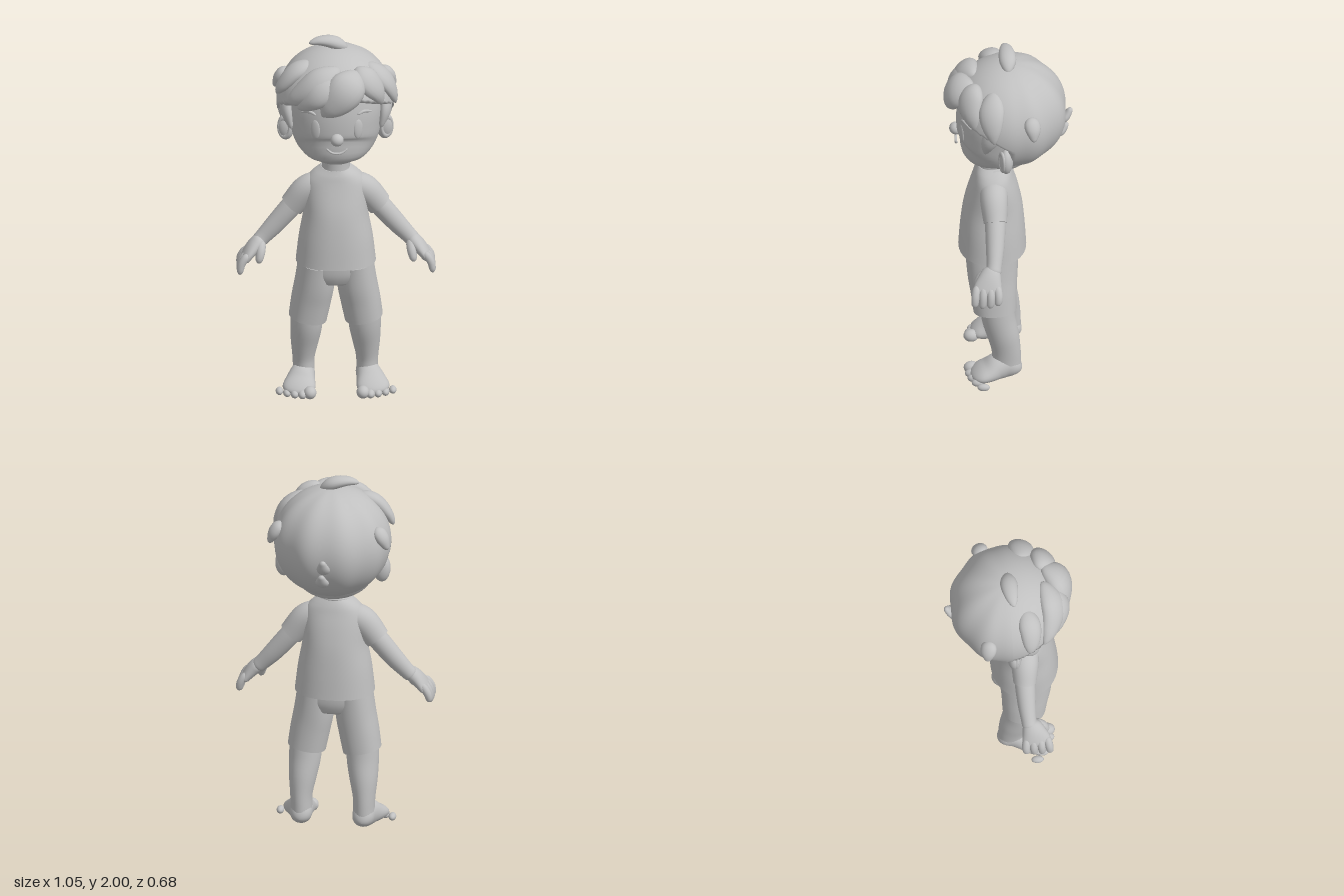
import * as THREE from 'three';

const clay = new THREE.MeshStandardMaterial({ color: 0xc0c0c0 });
clay.name = 'clay grey';

const AXIS_Z = () => new THREE.Vector3(0, 0, 1);
const AXIS_Y = () => new THREE.Vector3(0, 1, 0);
const HEAD = new THREE.Vector3(0, 1.62, 0);
const FROM_HEAD = (c) => c.clone().sub(HEAD).normalize();

// Smooth sweep through [x, y, z, halfWidth, halfDepth] sections; c0 and c1 are rounded end lengths (0 = flat)
function sweep(name, secs, { c0 = 0, c1 = 0, ref = AXIS_Z, pow = 1, steps = 28, sides = 28 } = {}) {
  const path = new THREE.CatmullRomCurve3(secs.map((s) => new THREE.Vector3(s[0], s[1], s[2])), false, 'catmullrom');
  const size = new THREE.CatmullRomCurve3(secs.map((s) => new THREE.Vector3(s[3], s[4], 0)), false, 'catmullrom');
  const dome = (t, c) => (c > 0 && t < c ? Math.sqrt(Math.max(0, 1 - (1 - t / c) ** 2)) : 1);
  const bend = (v) => Math.sign(v) * Math.abs(v) ** pow;
  const pos = [], idx = [];
  const ring = (t, k) => {
    const c = path.getPoint(t), T = path.getTangent(t), r = size.getPoint(t);
    const N = ref(c);
    N.addScaledVector(T, -N.dot(T)).normalize();
    const U = N.clone().cross(T);
    k *= dome(t, c0) * dome(1 - t, c1);
    for (let j = 0; j < sides; j++) {
      const a = (j / sides) * Math.PI * 2;
      const p = c.clone().addScaledVector(U, bend(Math.cos(a)) * Math.max(r.x, 0.002) * k)
        .addScaledVector(N, bend(Math.sin(a)) * Math.max(r.y, 0.002) * k);
      pos.push(p.x, p.y, p.z);
    }
  };
  // doubled end rings keep flat ends crisp
  ring(0, 0); ring(0, 1);
  for (let i = 0; i <= steps; i++) ring((1 - Math.cos((i / steps) * Math.PI)) / 2, 1);
  ring(1, 1); ring(1, 0);
  const rings = pos.length / 3 / sides;
  for (let i = 0; i < rings - 1; i++) for (let j = 0; j < sides; j++) {
    const a = i * sides + j, b = i * sides + (j + 1) % sides;
    idx.push(a, b, b + sides, a, b + sides, a + sides);
  }
  const g = new THREE.BufferGeometry();
  g.setAttribute('position', new THREE.Float32BufferAttribute(pos, 3));
  g.setIndex(idx);
  g.computeVertexNormals();
  return named(name, g);
}

function named(name, geometry) {
  const m = new THREE.Mesh(geometry, clay);
  m.name = name;
  return m;
}

function ball(name, p, r) {
  const m = named(name, new THREE.SphereGeometry(1, 28, 20));
  m.position.set(...p);
  m.scale.set(...r);
  return m;
}

const flip = (secs, s) => secs.map(([x, ...rest]) => [x * s, ...rest]);
const lock = (name, secs) => sweep(name, secs, { c0: 0.3, c1: 0.12, ref: FROM_HEAD, sides: 20, steps: 22 });

// Hair shell: an ellipsoid with soft vertical lobes, tucked under the face below the hairline
function hairCap() {
  const g = new THREE.SphereGeometry(1, 96, 72), p = g.attributes.position;
  for (let i = 0; i < p.count; i++) {
    const x = p.getX(i), y = p.getY(i), z = p.getZ(i);
    const lobes = 1 - 0.018 * Math.cos(9 * Math.atan2(x, -z)) * (1 - y * y) * THREE.MathUtils.smoothstep(-z, -0.1, 0.4);
    const wy = 1.64 + y * 0.3;
    const hairline = -0.01 + 0.3 * THREE.MathUtils.smoothstep(wy, 1.56, 1.76);
    const k = lobes * (1 - 0.3 * THREE.MathUtils.smoothstep(z * 0.31 - hairline, 0, 0.03));
    p.setXYZ(i, x * 0.312 * k, 1.64 + y * 0.3 * k, z * 0.308 * k);
  }
  g.computeVertexNormals();
  return named('hairCap', g);
}

function buildHead() {
  const head = new THREE.Group();
  head.name = 'head';
  head.add(sweep('face', [
    [0, 1.333, 0.1, 0.05, 0.06], [0, 1.35, 0.1, 0.13, 0.115], [0, 1.39, 0.095, 0.185, 0.168],
    [0, 1.45, 0.07, 0.222, 0.21], [0, 1.53, 0.052, 0.24, 0.226], [0, 1.65, 0.042, 0.25, 0.23],
    [0, 1.78, 0.03, 0.22, 0.21], [0, 1.88, 0.02, 0.11, 0.11]], { sides: 48, steps: 40 }));
  head.add(sweep('neck', [[0, 1.23, 0.085, 0.08, 0.08], [0, 1.3, 0.086, 0.074, 0.077], [0, 1.38, 0.088, 0.075, 0.077]]));
  head.add(ball('nose', [0, 1.515, 0.279], [0.035, 0.034, 0.034]));
  head.add(sweep('mouth', [[-0.056, 1.463, 0.271, 0.005, 0.006], [-0.03, 1.443, 0.277, 0.006, 0.007],
    [0, 1.437, 0.279, 0.006, 0.007], [0.03, 1.443, 0.277, 0.006, 0.007], [0.056, 1.463, 0.271, 0.005, 0.006]],
  { c0: 0.05, c1: 0.05, sides: 10 }));
  for (const s of [1, -1]) {
    const eye = ball('eye', [s * 0.113, 1.565, 0.247], [0.027, 0.056, 0.011]);
    eye.rotation.y = s * 0.45;
    head.add(eye);
    head.add(sweep('eyebrow', flip([[0.11, 1.648, 0.25, 0.006, 0.006], [0.145, 1.66, 0.232, 0.009, 0.008],
      [0.187, 1.645, 0.197, 0.005, 0.006]], s), { c0: 0.1, c1: 0.1, sides: 10 }));
    // ear with a raised rim
    head.add(ball('ear', [s * 0.262, 1.487, 0.012], [0.046, 0.074, 0.036]));
    const rim = named('earRim', new THREE.TorusGeometry(0.032, 0.009, 10, 28));
    rim.position.set(s * 0.272, 1.49, 0.034);
    rim.scale.set(0.95, 1.6, 1);
    rim.rotation.y = s * 0.4;
    head.add(rim);
  }
  return head;
}

function buildHair() {
  const hair = new THREE.Group();
  hair.name = 'hair';
  hair.add(hairCap());
  const fringe = [
    [[0.11, 1.87, 0.19, 0.07, 0.05], [0.05, 1.8, 0.27, 0.1, 0.065], [-0.025, 1.715, 0.285, 0.075, 0.045], [-0.08, 1.65, 0.275, 0.015, 0.015]],
    [[0.02, 1.88, 0.18, 0.06, 0.05], [-0.1, 1.82, 0.23, 0.08, 0.05], [-0.2, 1.74, 0.205, 0.055, 0.04], [-0.265, 1.69, 0.17, 0.012, 0.012]],
    [[-0.01, 1.86, 0.22, 0.05, 0.05], [-0.09, 1.78, 0.262, 0.075, 0.05], [-0.155, 1.72, 0.25, 0.05, 0.035], [-0.205, 1.675, 0.225, 0.012, 0.012]],
    [[0.1, 1.88, 0.17, 0.06, 0.05], [0.165, 1.82, 0.2, 0.075, 0.045], [0.215, 1.75, 0.195, 0.055, 0.035], [0.24, 1.675, 0.175, 0.012, 0.012]],
    [[0.16, 1.87, 0.08, 0.06, 0.04], [0.25, 1.79, 0.09, 0.07, 0.04], [0.295, 1.715, 0.085, 0.05, 0.03], [0.318, 1.64, 0.075, 0.01, 0.01]],
    [[-0.13, 1.88, 0.08, 0.06, 0.04], [-0.22, 1.83, 0.1, 0.06, 0.04], [-0.28, 1.765, 0.1, 0.045, 0.03], [-0.315, 1.71, 0.09, 0.012, 0.012]],
  ];
  for (const f of fringe) hair.add(lock('fringeLock', f));
  for (const s of [1, -1]) {
    hair.add(lock('sideburn', flip([[0.27, 1.7, 0.06, 0.05, 0.03], [0.262, 1.61, 0.105, 0.042, 0.028], [0.236, 1.52, 0.125, 0.01, 0.01]], s)));
    hair.add(lock('sideTuft', flip([[0.25, 1.77, -0.115, 0.04, 0.03], [0.29, 1.715, -0.13, 0.042, 0.032], [0.318, 1.655, -0.135, 0.012, 0.012]], s)));
  }
  // small upturned locks at the nape
  hair.add(lock('backTuft', [[0, 1.57, -0.27, 0.035, 0.03], [0, 1.595, -0.305, 0.034, 0.024], [0, 1.645, -0.333, 0.012, 0.012]]));
  hair.add(lock('backTuft', [[0.01, 1.49, -0.25, 0.035, 0.03], [0.01, 1.51, -0.285, 0.034, 0.022], [0.01, 1.555, -0.312, 0.012, 0.012]]));
  hair.add(lock('topTuft', [[0.065, 1.925, 0, 0.035, 0.03], [-0.01, 1.963, 0.004, 0.046, 0.034], [-0.08, 1.975, 0.012, 0.036, 0.024], [-0.14, 1.965, 0.022, 0.012, 0.01]]));
  return hair;
}

function buildClothes() {
  const clothes = new THREE.Group();
  clothes.name = 'clothes';
  clothes.add(sweep('shirt', [
    [0, 0.757, 0.085, 0.212, 0.18], [0, 0.9, 0.084, 0.195, 0.17], [0, 1.03, 0.082, 0.172, 0.155], [0, 1.13, 0.08, 0.168, 0.132],
    [0, 1.21, 0.081, 0.158, 0.108], [0, 1.255, 0.083, 0.125, 0.095], [0, 1.29, 0.085, 0.076, 0.08]], { pow: 0.9, sides: 48 }));
  const collar = named('collar', new THREE.TorusGeometry(0.08, 0.009, 10, 40));
  collar.position.set(0, 1.276, 0.087);
  collar.rotation.x = Math.PI / 2 + 0.2;
  clothes.add(collar);
  clothes.add(sweep('shortsSeat', [[0, 0.63, 0.085, 0.13, 0.11], [0, 0.7, 0.086, 0.195, 0.138], [0, 0.78, 0.087, 0.198, 0.145]], { c0: 0.2, pow: 0.92 }));
  for (const s of [1, -1]) {
    clothes.add(sweep('sleeve', flip([[0.06, 1.2, 0.08, 0.06, 0.07], [0.15, 1.155, 0.077, 0.076, 0.074], [0.232, 1.06, 0.07, 0.068, 0.062]], s), { c0: 0.3 }));
    clothes.add(sweep('shortsLeg', flip([[0.1, 0.75, 0.087, 0.1, 0.14], [0.112, 0.63, 0.084, 0.106, 0.132],
      [0.13, 0.53, 0.078, 0.106, 0.122], [0.148, 0.425, 0.072, 0.102, 0.114]], s), { pow: 0.92 }));
  }
  return clothes;
}

function buildArm(s) {
  const arm = new THREE.Group();
  arm.name = s > 0 ? 'leftArm' : 'rightArm';
  arm.add(sweep('forearm', flip([[0.19, 1.11, 0.07, 0.055, 0.054], [0.25, 1.038, 0.07, 0.056, 0.054], [0.325, 0.95, 0.072, 0.051, 0.048],
    [0.385, 0.885, 0.077, 0.043, 0.041], [0.42, 0.85, 0.085, 0.04, 0.045]], s), { c1: 0.15 }));
  arm.add(sweep('palm', flip([[0.385, 0.885, 0.08, 0.038, 0.04], [0.43, 0.845, 0.098, 0.038, 0.06],
    [0.468, 0.8, 0.11, 0.031, 0.076], [0.488, 0.765, 0.112, 0.025, 0.074]], s), { c0: 0.2, c1: 0.2 }));
  for (let i = 0; i < 4; i++) {
    const z = 0.053 + 0.041 * i, drop = [0.02, 0.004, 0, 0.01][i];
    arm.add(sweep('finger', flip([[0.465, 0.82, z * 0.85 + 0.017, 0.021, 0.022], [0.5, 0.77, z, 0.021, 0.022],
      [0.512, 0.7 + drop, z + 0.005, 0.016, 0.018]], s), { c0: 0.25, c1: 0.2, sides: 14, steps: 16 }));
  }
  arm.add(sweep('thumb', flip([[0.395, 0.87, 0.1, 0.026, 0.026], [0.4, 0.825, 0.148, 0.025, 0.026], [0.412, 0.768, 0.172, 0.018, 0.018]], s),
    { c0: 0.25, c1: 0.2, sides: 14, steps: 16 }));
  return arm;
}

function buildLeg(s) {
  const leg = new THREE.Group();
  leg.name = s > 0 ? 'leftLeg' : 'rightLeg';
  leg.add(sweep('shin', flip([[0.152, 0.47, 0.065, 0.086, 0.09], [0.155, 0.37, 0.052, 0.085, 0.089], [0.163, 0.27, 0.028, 0.074, 0.084],
    [0.168, 0.18, 0.013, 0.06, 0.077], [0.168, 0.11, 0.01, 0.057, 0.077], [0.168, 0.012, 0.008, 0.06, 0.076]], s), { c1: 0.12 }));
  leg.add(sweep('foot', flip([[0.166, 0.05, -0.07, 0.055, 0.045], [0.168, 0.075, 0, 0.06, 0.072], [0.178, 0.074, 0.055, 0.07, 0.072],
    [0.192, 0.054, 0.115, 0.085, 0.052], [0.206, 0.034, 0.2, 0.095, 0.031]], s), { c0: 0.2, c1: 0.2, ref: AXIS_Y }));
  for (let i = 0; i < 5; i++) {
    const r = (i ? 0.026 : 0.034) - 0.0015 * i;
    leg.add(ball('toe', [s * (0.14 + 0.04 * i), r + 0.001, 0.196 - 0.004 * i * i], [r, r, 0.041 - 0.002 * i]));
  }
  return leg;
}

export function createModel() {
  const model = new THREE.Group();
  model.name = 'standingChild';
  model.add(buildHead(), buildHair(), buildClothes());
  for (const s of [1, -1]) model.add(buildArm(s), buildLeg(s));
  return model;
}
